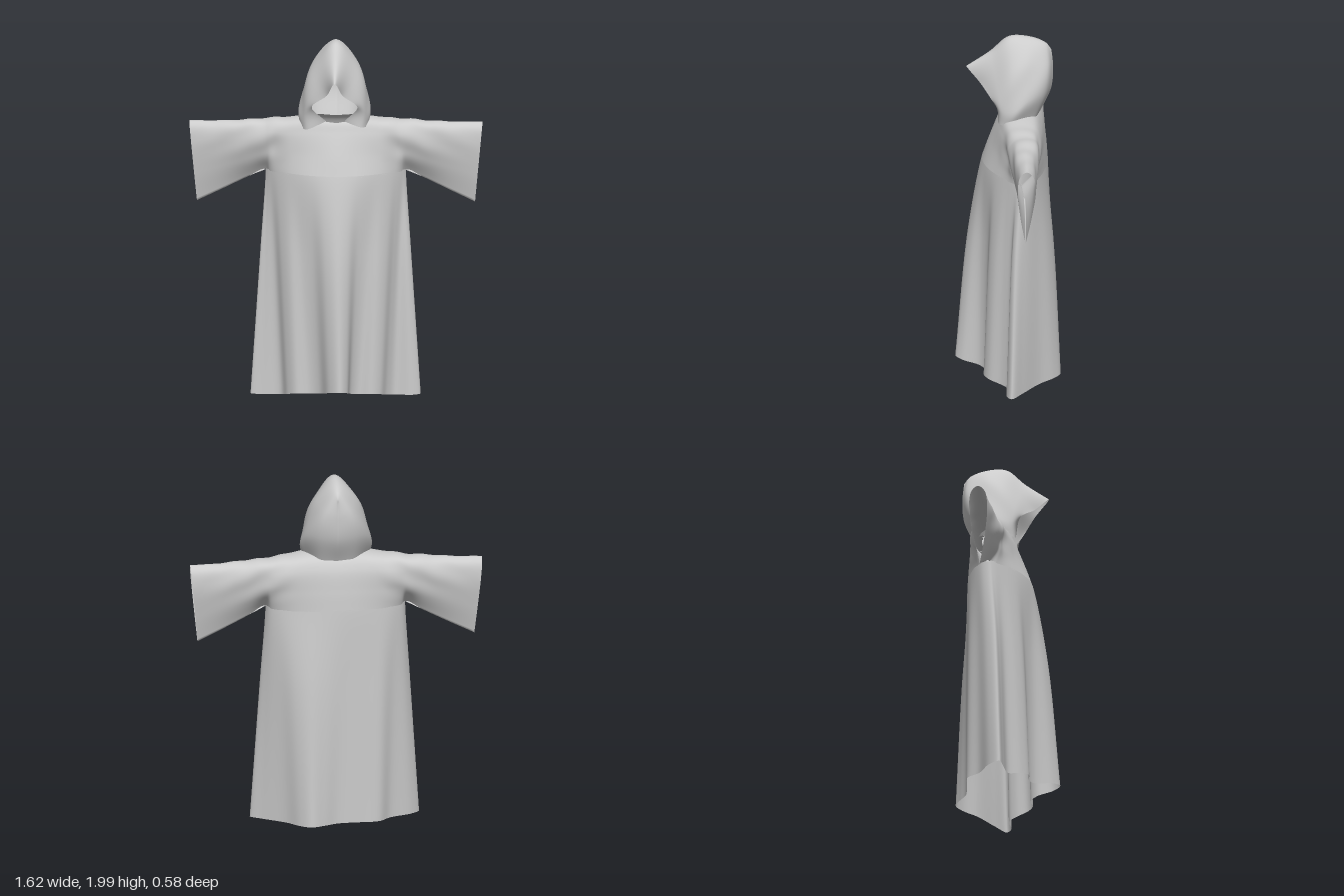
import * as THREE from 'three';
import { mergeVertices } from 'three/addons/utils/BufferGeometryUtils.js';

const cloth = new THREE.MeshStandardMaterial({ color: 0xcccccc, side: THREE.DoubleSide });
const V = (x, y, z) => new THREE.Vector3(x, y, z);
const { lerp, smoothstep } = THREE.MathUtils;

// Smooth cloth skin stretched over rows of control points
function skin(name, rows, nu, nv, { closed = false, warp = () => {}, keep = () => true } = {}) {
  const cols = closed ? nu : nu + 1;
  const curves = rows.map((r) => new THREE.CatmullRomCurve3(r, closed));
  const columns = [];
  for (let j = 0; j < cols; j++) {
    columns.push(new THREE.CatmullRomCurve3(curves.map((c) => c.getPoint(j / nu))));
  }
  const pts = [];
  for (let i = 0; i <= nv; i++) {
    for (const column of columns) {
      const p = column.getPoint(i / nv);
      warp(p);
      pts.push(p);
    }
  }
  const index = [];
  for (let i = 0; i < nv; i++) {
    for (let j = 0; j < nu; j++) {
      const k = (j + 1) % cols;
      const a = i * cols + j, b = i * cols + k, c = a + cols, d = b + cols;
      const mid = pts[a].clone().add(pts[d]).multiplyScalar(0.5);
      if (keep(mid)) index.push(a, c, b, b, c, d);
    }
  }
  const raw = new THREE.BufferGeometry().setFromPoints(pts);
  raw.setIndex(index);
  const geo = mergeVertices(raw);
  geo.computeVertexNormals();
  const mesh = new THREE.Mesh(geo, cloth);
  mesh.name = name;
  return mesh;
}

// Folded hem outline [x, z]: left side, across the front, then around the back
const FRONT = [
  [0.47, -0.03], [0.42, 0], [0.33, -0.01], [0.285, 0.03], [0.25, 0.1], [0.2, 0.13],
  [0.13, 0.12], [0.085, 0.16], [0.07, 0.25], [0.03, 0.29], [-0.03, 0.25], [-0.08, 0.16],
  [-0.14, 0.125], [-0.21, 0.13], [-0.26, 0.09], [-0.3, 0.02], [-0.39, 0], [-0.47, -0.02],
];
const BACK = [
  [-0.42, -0.08], [-0.3, -0.14], [-0.23, -0.21], [-0.12, -0.22], [0, -0.23],
  [0.08, -0.27], [0.15, -0.295], [0.21, -0.26], [0.28, -0.18], [0.4, -0.09],
];

// Chest outline at armpit height, shared by skirt and yoke
const CHEST = 0.387, ARMPIT = 1.265, SIDE_Z = -0.08;
const bulge = (x) => Math.max(0, 1 - (x / CHEST) ** 2);
const frontZ = (x) => SIDE_Z + 0.06 * Math.sqrt(bulge(x)) + 0.165 * bulge(x);
const backZ = (x) => SIDE_Z - 0.14 * Math.sqrt(bulge(x));

function makeSkirt() {
  const hem = [...FRONT, ...BACK].map(([x, z]) => V(x, 0.01 + (z > 0 ? 0.25 * z : -0.07 * z), z));
  const nf = FRONT.length - 1, nb = BACK.length + 1;
  const chest = hem.map((_, i) => {
    if (i <= nf) {
      const a = (Math.PI * i) / nf;
      const x = CHEST * Math.cos(a) + 0.04 * Math.sin(a) ** 2;
      return V(x, ARMPIT, frontZ(x));
    }
    const x = -CHEST * Math.cos((Math.PI * (i - nf)) / nb);
    return V(x, ARMPIT, backZ(x));
  });
  // the folds stay deep up to the waist
  const waist = hem.map((p, i) =>
    V(lerp(chest[i].x, p.x, 0.35), 0.82, lerp(chest[i].z, p.z, 0.54)));
  // guide row above the chest sets the slope at the join and is trimmed off
  const guide = chest.map((p) =>
    V(p.x, 1.37, SIDE_Z + (p.z - SIDE_Z) * (p.z > SIDE_Z ? 0.84 : 0.93)));
  const keep = (p) => p.y < ARMPIT + 0.006;
  return skin('skirt', [hem, waist, chest, guide], 168, 60, { closed: true, keep });
}

// Shoulders and both wide sleeves in one piece, from cuff to cuff
function makeYoke() {
  // [top x, bottom x, top y, bottom y, front z low/mid/high, top z, back z high/mid/low]
  const torso = (x, top, ...z) => [x, x, top, ARMPIT, frontZ(x), ...z, backZ(x)];
  const half = [
    torso(0, 1.575, 0.109, 0.058, -0.05, -0.188, -0.21),
    torso(0.13, 1.575, 0.085, 0.045, -0.06, -0.188, -0.205),
    torso(0.25, 1.56, 0.038, 0.018, -0.08, -0.187, -0.191),
    torso(0.33, 1.553, -0.006, -0.004, -0.09, -0.185, -0.176),
    torso(0.365, 1.55, -0.016, -0.01, -0.095, -0.183, -0.168),
    [0.39, 0.387, 1.548, ARMPIT, SIDE_Z, -0.025, -0.015, -0.1, -0.182, -0.164, SIDE_Z],
    [0.5, 0.48, 1.54, 1.222, -0.1, -0.045, -0.03, -0.105, -0.177, -0.16, -0.1],
    [0.65, 0.62, 1.532, 1.152, -0.108, -0.07, -0.052, -0.112, -0.172, -0.152, -0.108],
    [0.81, 0.768, 1.53, 1.08, -0.112, -0.085, -0.07, -0.12, -0.17, -0.145, -0.112],
  ];
  const heights = [0, 0.35, 0.75, 0.94, 1, 0.94, 0.75, 0.35, 0];
  const section = ([xt, xb, yt, yb, f0, f1, f2, top, b2, b1, b0], side) => {
    const zs = [f0, f1, f2, lerp(f2, top, 0.3), top, lerp(b2, top, 0.3), b2, b1, b0];
    return zs.map((z, i) => V(side * lerp(xb, xt, heights[i]), lerp(yb, yt, heights[i]), z));
  };
  const rows = [
    ...half.slice(1).reverse().map((s) => section(s, -1)),
    ...half.map((s) => section(s, 1)),
  ];
  // soft creases along the upper arms, fading towards the cuffs
  const warp = (p) => {
    const x = Math.abs(p.x);
    const fade = smoothstep(x, 0.2, 0.4) * Math.max(0, 0.8 - x) * 2 * smoothstep(p.y, 1.28, 1.42);
    p.z += 0.006 * fade * Math.sin(38 * (x * 0.6 + p.y));
    p.y += 0.004 * fade * Math.sin(45 * x + Math.sign(p.x));
  };
  // neck opening
  const keep = (p) => p.y < 1.5 || Math.hypot(p.x / 0.13, (p.z + 0.055) / 0.085) > 1;
  return skin('shouldersAndSleeves', rows, 96, 128, { warp, keep });
}

// Pointed hood: arches from the peaked front opening to the back seam
function makeHood() {
  // each arch: bottom, lower side, upper side, crown
  const arches = [
    [[0.05, 1.565, 0.048], [0.12, 1.645, 0.075], [0.042, 1.735, 0.155], [0, 1.815, 0.23]],
    [[0.15, 1.53, 0.045], [0.17, 1.62, 0.035], [0.1, 1.78, 0.065], [0, 1.905, 0.1]],
    [[0.175, 1.535, -0.01], [0.192, 1.62, -0.03], [0.125, 1.85, -0.025], [0, 1.995, -0.005]],
    [[0.15, 1.55, -0.085], [0.17, 1.68, -0.115], [0.11, 1.88, -0.12], [0, 1.995, -0.11]],
    [[0.1, 1.55, -0.15], [0.105, 1.7, -0.205], [0.07, 1.85, -0.222], [0, 1.96, -0.208]],
    [[0, 1.55, -0.18], [0, 1.69, -0.24], [0, 1.82, -0.25], [0, 1.92, -0.24]],
  ];
  // the right side hangs slightly wider and lower
  const rows = arches.map((arch) => [
    ...arch.map(([x, y, z]) => V(x, y, z)),
    ...arch.slice(0, 3).reverse().map(([x, y, z]) => V(-x * 1.06, y - (x > 0.12 ? 0.012 : 0), z)),
  ]);
  // gentle drape folds on the sides
  const warp = (p) => {
    p.x *= 1 + 0.03 * Math.sin(22 * p.y + 28 * p.z);
  };
  return skin('hood', rows, 72, 60, { warp });
}

export function createModel() {
  const robe = new THREE.Group();
  robe.name = 'hoodedRobe';
  robe.add(makeSkirt(), makeYoke(), makeHood());
  return robe;
}
